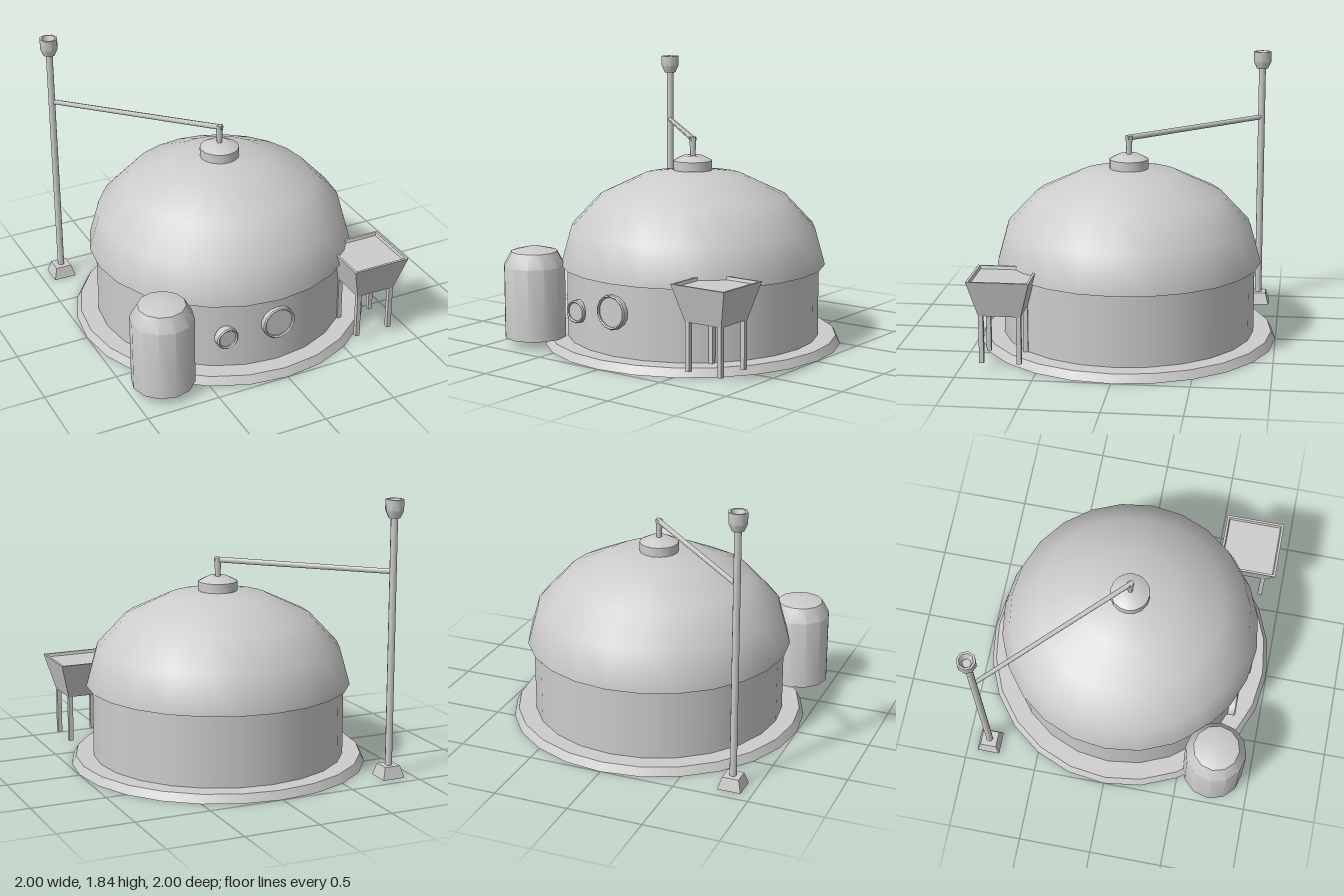
import * as THREE from 'three';
import { toCreasedNormals } from 'three/addons/utils/BufferGeometryUtils.js';

const grey = new THREE.MeshStandardMaterial({ color: 0xcccccc });
grey.name = 'light grey';

export function createModel() {
  const model = new THREE.Group();
  model.name = 'domedHut';

  const add = (name, geometry, x = 0, y = 0, z = 0) => {
    const mesh = new THREE.Mesh(geometry, grey);
    mesh.name = name;
    mesh.position.set(x, y, z);
    model.add(mesh);
    return mesh;
  };

  // Turned solid from a bottom-to-top profile, with sharp edges kept
  const turned = (points, sides, crease = 0.6) =>
    toCreasedNormals(
      new THREE.LatheGeometry(points.map(([r, y]) => new THREE.Vector2(r, y)), sides), crease);

  // Square solid: profile gives half widths instead of radii
  const squared = (points) =>
    turned(points.map(([w, y]) => [w * Math.SQRT2, y]), 4).rotateY(Math.PI / 4);

  // Straight rod between two points
  const rod = (name, from, to, r0, r1, sides) => {
    const a = new THREE.Vector3(...from), b = new THREE.Vector3(...to);
    const dir = b.clone().sub(a);
    const mesh = add(name, new THREE.CylinderGeometry(r1, r0, dir.length(), sides));
    mesh.position.copy(a).add(b).multiplyScalar(0.5);
    mesh.quaternion.setFromUnitVectors(new THREE.Vector3(0, 1, 0), dir.normalize());
  };

  // Base slab and round wall
  add('base', new THREE.CylinderGeometry(0.97, 1, 0.055, 24), 0, 0.0275, 0);
  add('wall', new THREE.CylinderGeometry(0.85, 0.85, 0.5, 24), 0, 0.3, 0);

  // Flattened dome with an overhanging lip
  const dome = [[0.84, 0.535], [0.89, 0.535], [0.89, 0.545]];
  for (let i = 1; i <= 4; i++) {
    const t = (i * Math.PI) / 8;
    dome.push([i === 4 ? 0 : 0.89 * Math.cos(t), 0.545 + 0.635 * Math.sin(t)]);
  }
  add('dome', turned(dome, 24));

  // Cap on the dome
  add('domeCap', turned([[0, 1.165], [0.131, 1.165], [0.131, 1.228], [0.068, 1.26], [0, 1.26]], 16, 0.5));

  // Corner mast with foot, hollow head and arm to the cap
  const m = -0.85;
  add('mastFoot', squared([[0, 0], [0.078, 0], [0.055, 0.08], [0, 0.08]]), m, 0, m);
  rod('mast', [m, 0.07, m], [m, 1.73, m], 0.024, 0.024, 8);
  add('mastHead', turned([[0, 1.72], [0.04, 1.72], [0.062, 1.77], [0.062, 1.84],
    [0.047, 1.84], [0.028, 1.79], [0, 1.79]], 8, 0.8), m, 0, m);
  rod('arm', [m, 1.372, m], [0.015, 1.372, 0.015], 0.017, 0.019, 6);
  rod('armDrop', [0, 1.25, 0], [0, 1.385, 0], 0.017, 0.024, 6);

  // Tank at the front right
  add('tank', turned([[0, 0.055], [0.208, 0.055], [0.208, 0.54], [0.156, 0.635], [0, 0.675]], 12),
    -0.772, 0, 0.737);

  // Hopper on four legs at the front left
  const h = 0.728;
  add('hopper', squared([[0, 0.37], [0.137, 0.37], [0.202, 0.61], [0.186, 0.61], [0.18, 0.59], [0, 0.59]]), h, 0, h);
  for (const sx of [-1, 1]) for (const sz of [-1, 1])
    add('hopperLeg', new THREE.BoxGeometry(0.03, 0.325, 0.03), h + sx * 0.122, 0.2175, h + sz * 0.122);

  // Round windows: raised ring with a pane inside
  for (const [name, x, y, z, r] of [['largeWindow', 0, 0.345, 0.865, 0.114], ['smallWindow', -0.345, 0.29, 0.81, 0.076]]) {
    const inner = r - 0.016;
    const ring = turned([[inner, -0.04], [r, -0.04], [r, 0.006], [r - 0.008, 0.014], [inner, 0.006], [inner, -0.04]], 14);
    add(name + 'Ring', ring.rotateX(Math.PI / 2), x, y, z);
    add(name + 'Pane', new THREE.CylinderGeometry(inner, inner, 0.008, 14).rotateX(Math.PI / 2), x, y, z - 0.006);
  }

  return model;
}
